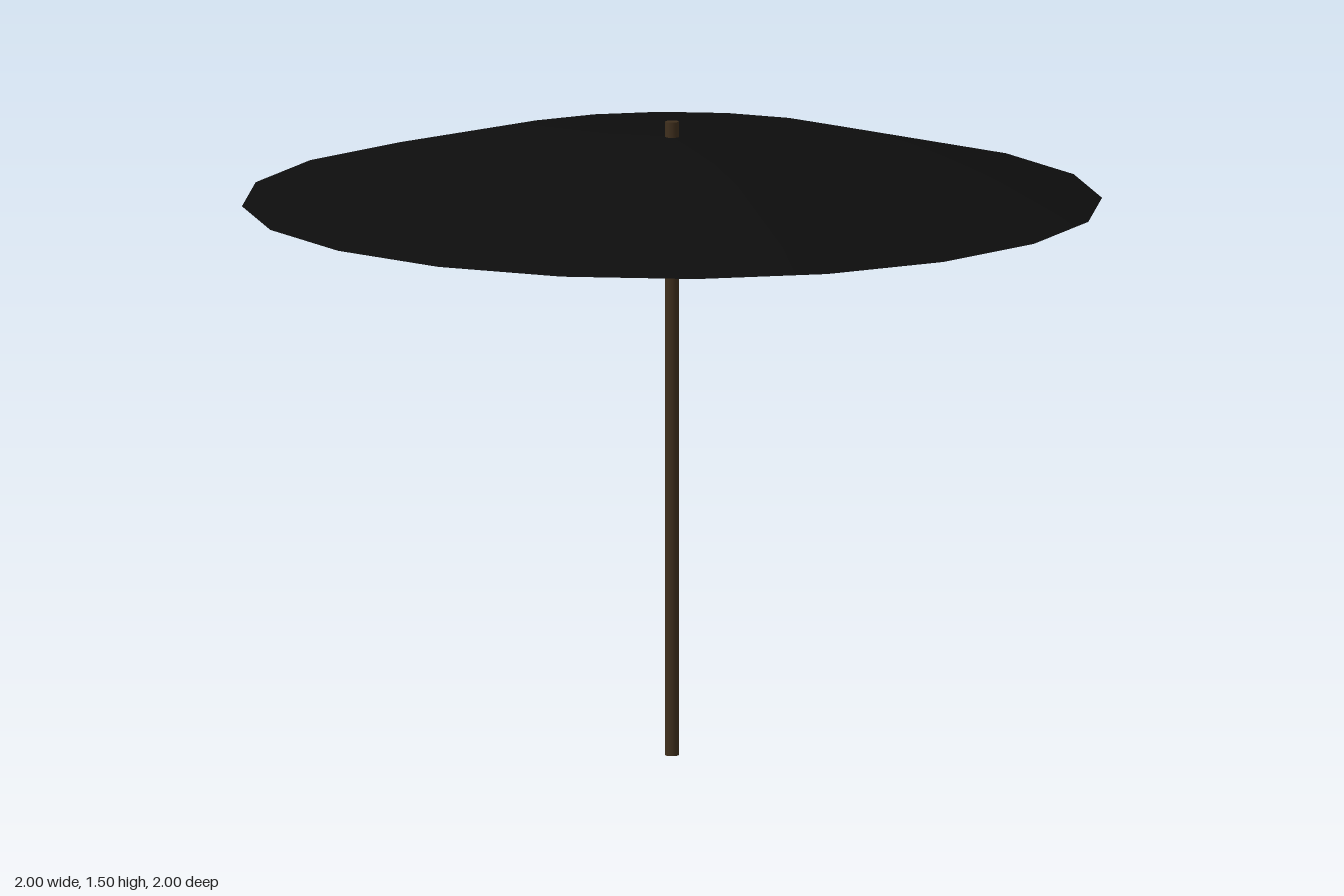
import * as THREE from 'three';

const SIDES = 20;
const RIM_Y = 1.305;

function addMesh(parent, name, geometry, material) {
  const mesh = new THREE.Mesh(geometry, material);
  mesh.name = name;
  parent.add(mesh);
  return mesh;
}

export function createModel() {
  const model = new THREE.Group();
  model.name = 'parasol';
  const fabric = new THREE.MeshStandardMaterial({ color: 0x0d0d0d });
  const wood = new THREE.MeshStandardMaterial({ color: 0x3f2f1d });

  // Canopy: shallow two-step dome, closed by a flat underside
  const canopy = new THREE.Group();
  canopy.name = 'canopy';
  model.add(canopy);
  const profile = [[1, RIM_Y], [0.5, 1.427], [0, 1.46]].map(([r, y]) => new THREE.Vector2(r, y));
  addMesh(canopy, 'canopyTop', new THREE.LatheGeometry(profile, SIDES), fabric);
  const underside = addMesh(canopy, 'canopyUnderside', new THREE.CircleGeometry(1, SIDES), fabric);
  underside.rotation.x = Math.PI / 2;
  underside.position.y = RIM_Y;

  // Pole: runs from the ground through the canopy
  const height = 1.495;
  const pole = addMesh(model, 'pole', new THREE.CylinderGeometry(0.016, 0.016, height, 12), wood);
  pole.position.y = height / 2;

  return model;
}
